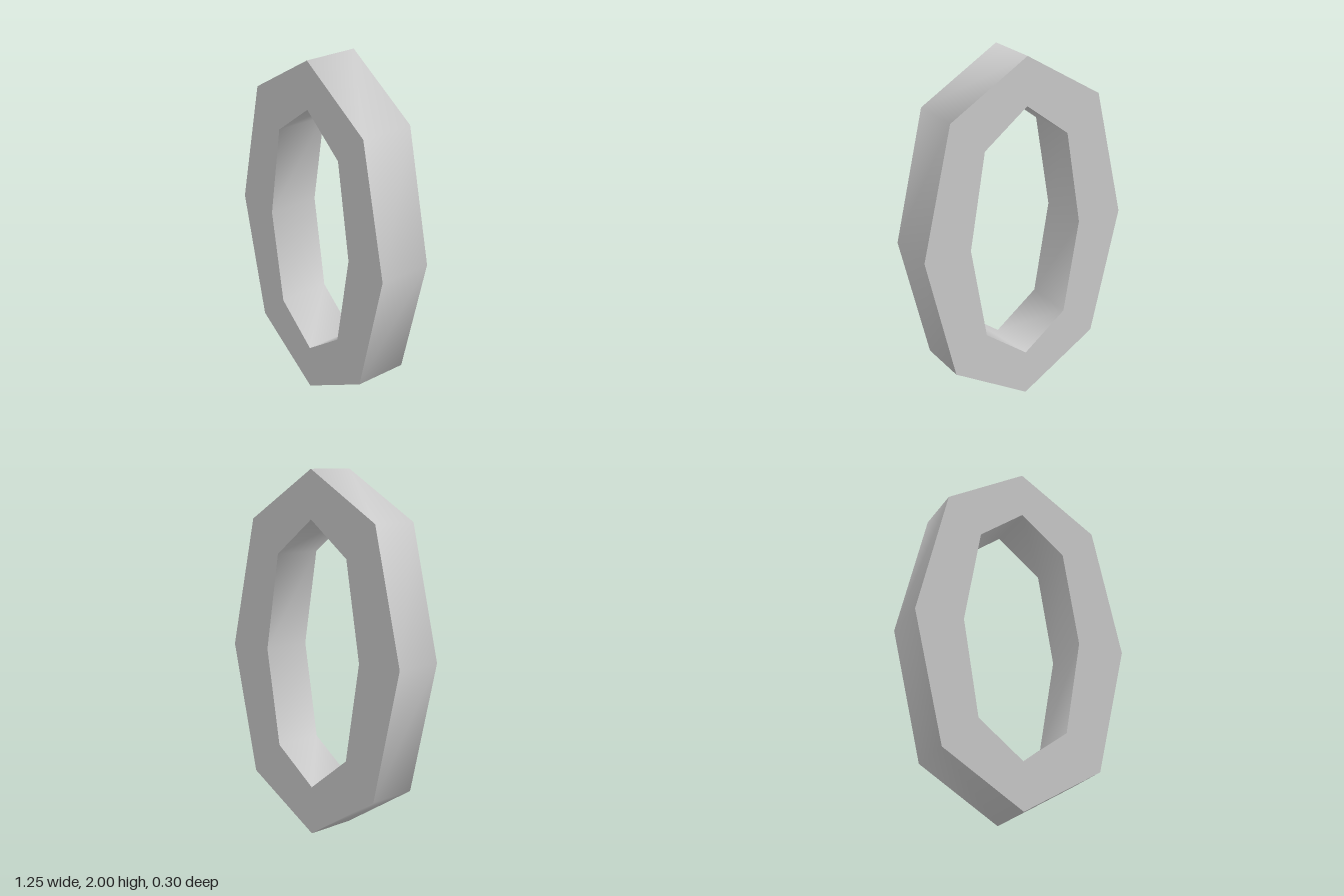
import * as THREE from 'three';
import { toCreasedNormals } from 'three/addons/utils/BufferGeometryUtils.js';

const DEPTH = 0.3;

// Eight-cornered outline, symmetric about both axes
function octagon(halfWidth, halfHeight, cornerX, cornerY) {
  return [
    [halfWidth, 0], [cornerX, cornerY], [0, halfHeight], [-cornerX, cornerY],
    [-halfWidth, 0], [-cornerX, -cornerY], [0, -halfHeight], [cornerX, -cornerY],
  ].map(([x, y]) => new THREE.Vector2(x, y));
}

export function createModel() {
  const group = new THREE.Group();
  group.name = 'ring';

  // Tall faceted ring with a matching opening
  const outline = new THREE.Shape(octagon(0.626, 1, 0.455, 0.726));
  outline.holes.push(new THREE.Path(octagon(0.349, 0.735, 0.257, 0.539).reverse()));
  const extruded = new THREE.ExtrudeGeometry(outline, { depth: DEPTH, bevelEnabled: false });
  extruded.translate(0, 1, -DEPTH / 2);

  // Walls shade smoothly around the ring; front and back rims stay sharp
  const geometry = toCreasedNormals(extruded, THREE.MathUtils.degToRad(80));
  geometry.clearGroups();

  const band = new THREE.Mesh(geometry, new THREE.MeshStandardMaterial({ color: 0xcccccc }));
  band.name = 'band';
  group.add(band);
  return group;
}
